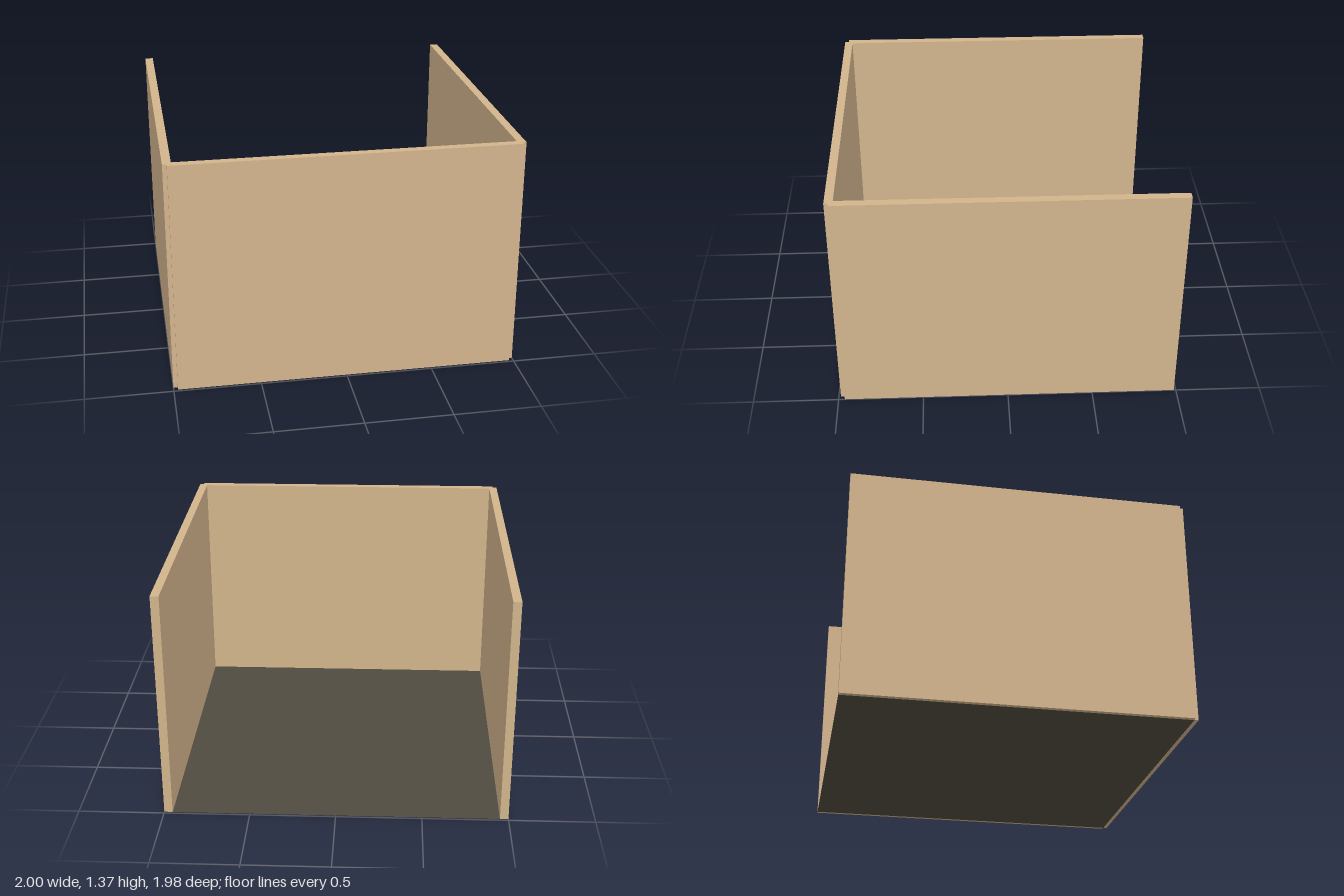
import * as THREE from 'three';

export function createModel() {
  const model = new THREE.Group();
  const size = 1.9512;            // floor side, and length of every wall
  const height = 1.3659;
  const thick = 0.0488;
  const lift = 0.001;             // keeps wall undersides clear of the floor sheet
  const centreZ = -thick / 4;     // floor centre, so the whole is centred in z

  const tan = new THREE.MeshStandardMaterial({ color: 0xd2b48c });
  const dark = new THREE.MeshStandardMaterial({ color: 0x504b40, side: THREE.DoubleSide });

  const addWall = (name, w, d, x, z) => {
    const wall = new THREE.Mesh(new THREE.BoxGeometry(w, height - lift, d), tan);
    wall.name = name;
    wall.position.set(x, (height + lift) / 2, z);
    model.add(wall);
  };

  // Thin floor sheet reaching the centre line of each wall
  const floor = new THREE.Mesh(new THREE.PlaneGeometry(size, size).rotateX(-Math.PI / 2), dark);
  floor.name = 'floor';
  floor.position.z = centreZ;
  model.add(floor);

  // Walls centred on the floor's edges; the back stays open
  addWall('frontWall', size, thick, 0, centreZ + size / 2);
  addWall('leftWall', thick, size, size / 2, centreZ);
  addWall('rightWall', thick, size, -size / 2, centreZ);

  return model;
}
